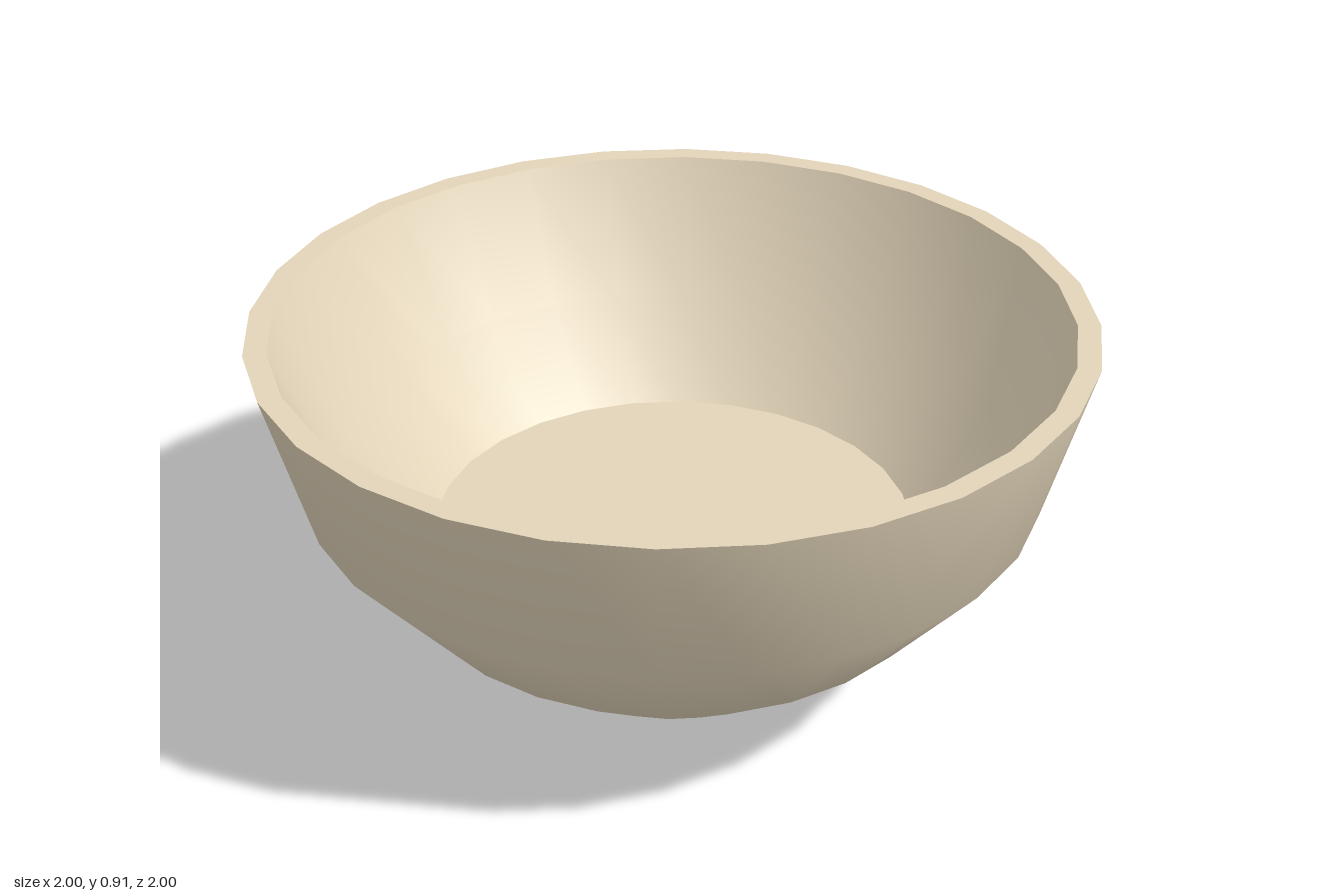
import * as THREE from 'three';

const SIDES = 28;

export function createModel() {
  const bowl = new THREE.Group();
  bowl.name = 'bowl';
  const clay = new THREE.MeshStandardMaterial({ color: 0xe3d5ba });
  clay.name = 'pale clay';

  // Each profile runs with the surface on its outer side; separate lathes keep the rims sharp
  const turn = (name, ...profile) => {
    const points = profile.map(([r, y]) => new THREE.Vector2(r, y));
    const mesh = new THREE.Mesh(new THREE.LatheGeometry(points, SIDES), clay);
    mesh.name = name;
    bowl.add(mesh);
  };

  turn('base', [0, 0], [0.345, 0]);
  turn('outerWall', [0.345, 0], [0.665, 0.245], [0.89, 0.51], [1, 0.91]);
  turn('rim', [1, 0.91], [0.945, 0.91]);
  turn('innerWall', [0.945, 0.91], [0.793, 0.577], [0.585, 0.36]);
  turn('innerFloor', [0.585, 0.36], [0, 0.36]);

  return bowl;
}
